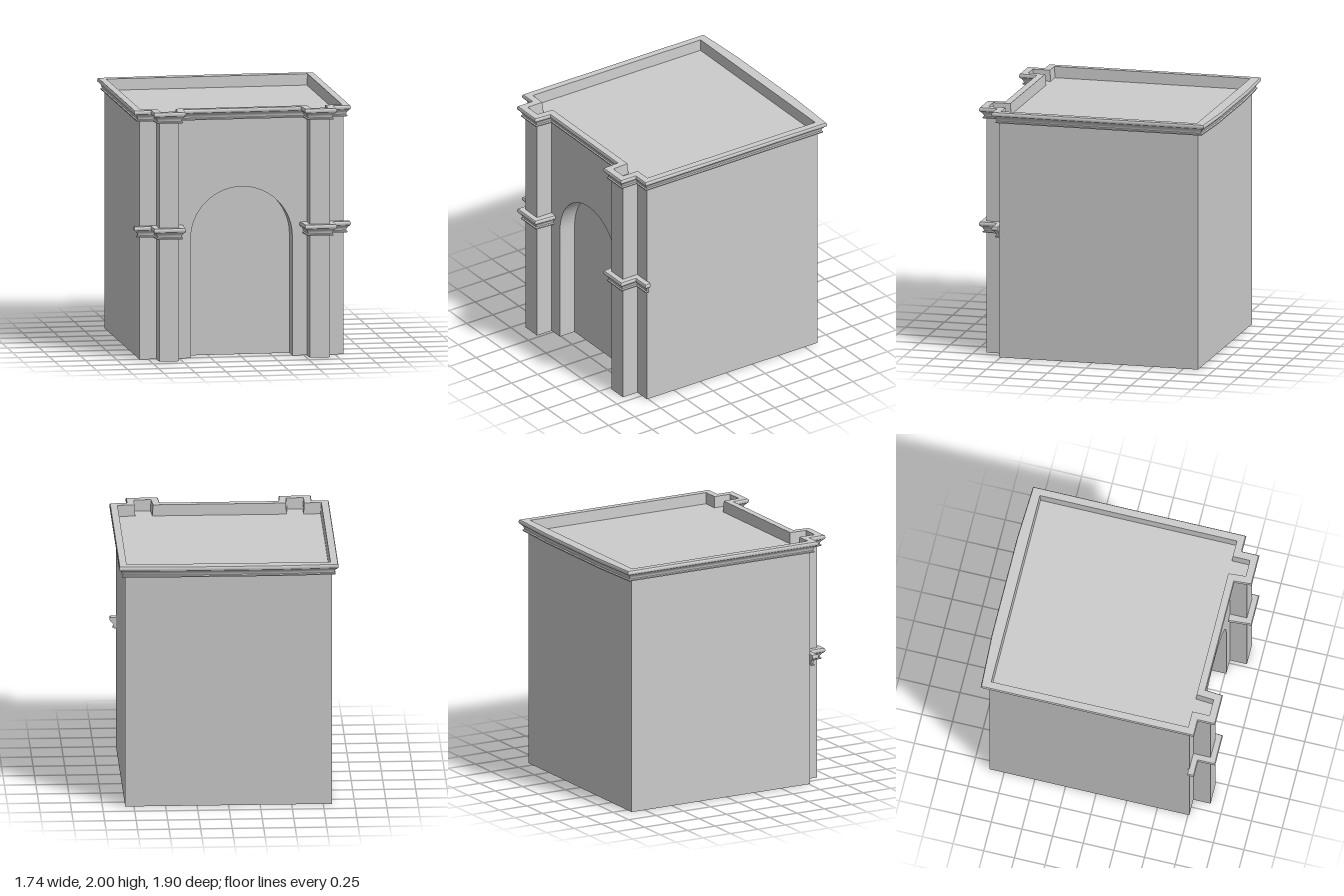
import * as THREE from 'three';
import { toCreasedNormals } from 'three/addons/utils/BufferGeometryUtils.js';

const material = new THREE.MeshStandardMaterial({ color: 0xcccccc });

// Moulding section as [outward offset, height], counter-clockwise
const MOULDING = [
  [0.025, 0], [0.027, 0.010], [0.018, 0.016], [0.020, 0.030], [0.027, 0.042], [0.038, 0.053],
  [0.047, 0.060], [0.050, 0.070], [0.049, 0.082], [0.044, 0.090], [-0.012, 0.090], [-0.018, 0],
];

// Plan outline of one side, from the inner edge of the pilaster out to the wall corner
const PILASTER_PLAN = [[0.515, 0.76], [0.525, 0.90], [0.685, 0.90], [0.685, 0.76], [0.82, 0.76]];

const mirrored = (path) => path.map(([x, z]) => [-x, z]).reverse();

// Sweeps the moulding along a plan path [x, z] with mitred corners
function sweepMoulding(path, y0, closed, adjust = () => 0) {
  const n = path.length, m = MOULDING.length;
  const normal = (a, b) => new THREE.Vector2(a[1] - b[1], b[0] - a[0]).normalize();
  const rings = path.map((p, i) => {
    const prev = closed || i > 0 ? normal(path[(i + n - 1) % n], p) : null;
    const next = closed || i < n - 1 ? normal(p, path[(i + 1) % n]) : null;
    const a = prev || next, b = next || prev;
    const miter = a.clone().add(b).divideScalar(1 + a.dot(b));
    return MOULDING.map(([o, y]) => {
      const x = p[0] + miter.x * o, z = p[1] + miter.y * o;
      return [x, y0 + y, z + adjust(x, z, o)];
    });
  });
  const pos = [];
  const tri = (a, b, c) => pos.push(...a, ...b, ...c);
  for (let i = 0; i < (closed ? n : n - 1); i++) {
    const r = rings[i], s = rings[(i + 1) % n];
    for (let j = 0; j < m; j++) {
      const k = (j + 1) % m;
      tri(r[j], s[j], s[k]);
      tri(r[j], s[k], r[k]);
    }
  }
  if (!closed) {
    const contour = MOULDING.map(([o, y]) => new THREE.Vector2(o, y));
    const end = rings[n - 1];
    for (const [a, b, c] of THREE.ShapeUtils.triangulateShape(contour, [])) {
      tri(rings[0][a], rings[0][b], rings[0][c]);
      tri(end[a], end[c], end[b]);
    }
  }
  const geometry = new THREE.BufferGeometry();
  geometry.setAttribute('position', new THREE.Float32BufferAttribute(pos, 3));
  return toCreasedNormals(geometry, 0.6);
}

export function createModel() {
  const model = new THREE.Group();
  const add = (name, geometry) => {
    const mesh = new THREE.Mesh(geometry, material);
    mesh.name = name;
    model.add(mesh);
    return mesh;
  };
  const wallTop = 1.91, nicheBack = 0.62, front = 0.76, back = -0.87;

  // Main block; its front is the back of the niche
  const depth = nicheBack - back;
  add('mainBlock', new THREE.BoxGeometry(1.64, wallTop, depth))
    .position.set(0, wallTop / 2, (nicheBack + back) / 2);

  // Front wall with arched opening
  const wall = new THREE.Shape();
  wall.moveTo(-0.82, 0);
  wall.lineTo(-0.408, 0);
  wall.lineTo(-0.408, 0.957);
  wall.absarc(0, 0.957, 0.408, Math.PI, 0, true);
  wall.lineTo(0.408, 0);
  wall.lineTo(0.82, 0);
  wall.lineTo(0.82, wallTop);
  wall.lineTo(-0.82, wallTop);
  wall.closePath();
  const wallGeometry = new THREE.ExtrudeGeometry(wall, {
    depth: front - nicheBack, bevelEnabled: false, curveSegments: 32,
  });
  add('archedFrontWall', toCreasedNormals(wallGeometry, 0.5)).position.z = nicheBack;

  // Pilasters with a moulded band at the springing of the arch
  const bandPath = [...PILASTER_PLAN, [0.82, 0.757]];
  for (const [side, s] of [['left', 1], ['right', -1]]) {
    add(side + 'Pilaster', new THREE.BoxGeometry(0.16, wallTop, 0.14))
      .position.set(s * 0.605, wallTop / 2, 0.83);
    add(side + 'Band', sweepMoulding(s > 0 ? bandPath : mirrored(bandPath), 0.98, false));
  }

  // Cornice standing above the roof as a low rim, bowed slightly outward at the back
  const half = [...PILASTER_PLAN, [0.82, back], [0.42, back]];
  const bow = (x, z, o) => (z < -0.8 && o > 0 ? (Math.abs(x) < 0.6 ? -0.03 : -0.01) : 0);
  add('cornice', sweepMoulding([...half, ...mirrored(half)], wallTop, true, bow));

  return model;
}
